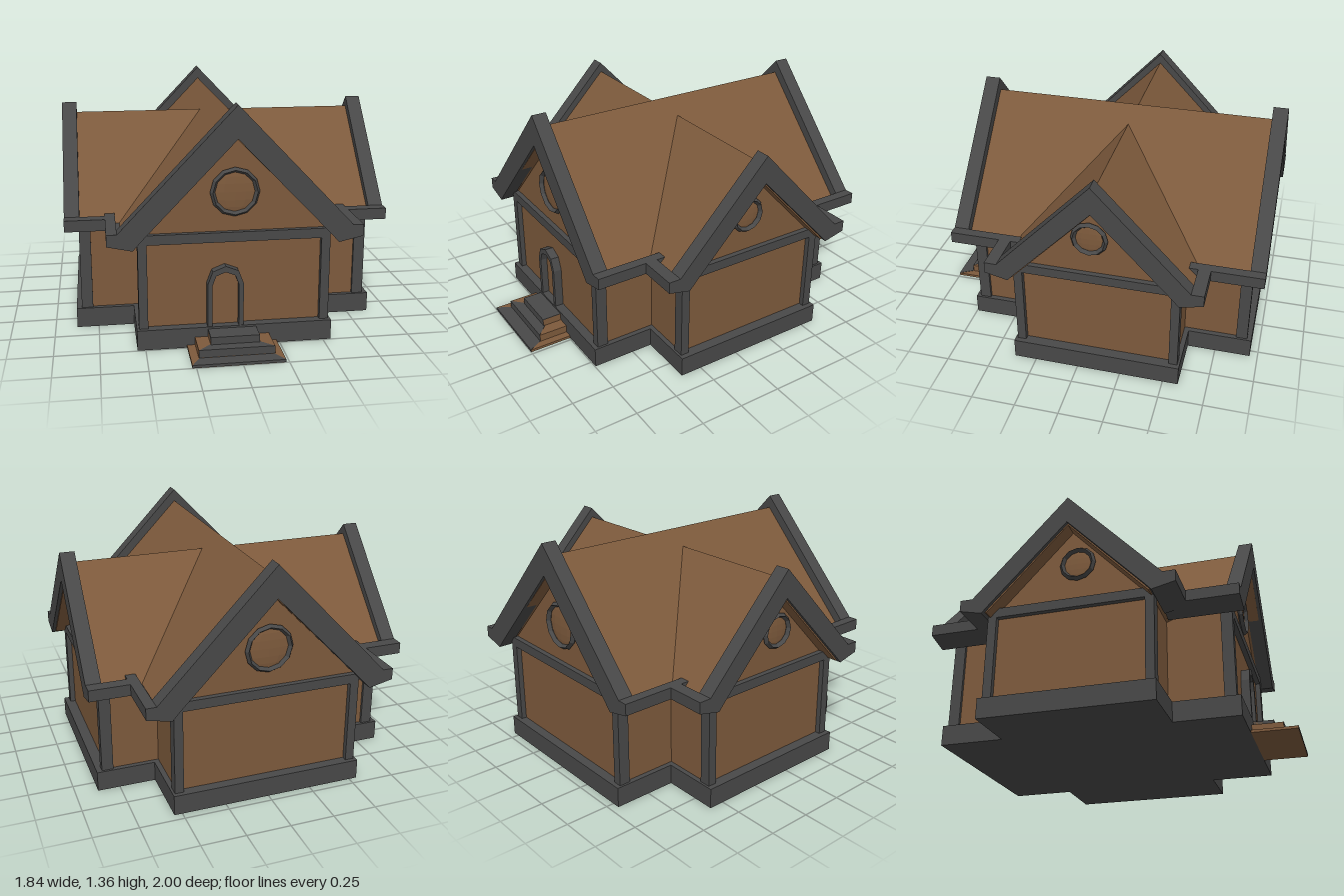
import * as THREE from 'three';

const brown = new THREE.MeshStandardMaterial({ color: 0x7d5a3c, flatShading: true });
const grey = new THREE.MeshStandardMaterial({ color: 0x484848, flatShading: true });

function add(parent, name, geometry, material, x = 0, y = 0, z = 0) {
  const mesh = new THREE.Mesh(geometry, material);
  mesh.name = name;
  mesh.position.set(x, y, z);
  parent.add(mesh);
  return mesh;
}

// Box from minimum and maximum corners
function block(parent, name, material, x0, x1, y0, y1, z0, z1) {
  return add(parent, name, new THREE.BoxGeometry(x1 - x0, y1 - y0, z1 - z0), material,
    (x0 + x1) / 2, (y0 + y1) / 2, (z0 + z1) / 2);
}

// Prism along z from an outline in x and y
function prism(parent, name, material, points, z0, z1) {
  const shape = new THREE.Shape(points.map(([x, y]) => new THREE.Vector2(x, y)));
  const geometry = new THREE.ExtrudeGeometry(shape, { depth: z1 - z0, bevelEnabled: false });
  return add(parent, name, geometry, material, 0, 0, z0);
}

// Close a right-hand outline that starts at the ridge with its mirror image.
// Outline order: outer edge downwards, then inner edge back up to the axis.
function mirrored(half) {
  const left = half.slice(1, -1).reverse().map(([x, y]) => [-x, y]);
  return [...half, ...left];
}

// One arm of the cross-shaped house, running along z with a gable at each end
function houseArm(name, p) {
  const arm = new THREE.Group();
  arm.name = name;
  const eaveY = p.ridge - 1.04 * p.eave;

  block(arm, 'foundation', grey, -p.base, p.base, 0, 0.115, -p.baseEnd, p.baseEnd);
  prism(arm, 'walls', brown, mirrored([[0, p.ridge - 0.07], [p.wall, 0.66], [p.wall, 0.1], [0, 0.1]]),
    -p.wallEnd, p.wallEnd);
  prism(arm, 'roof', brown, mirrored([[0, p.ridge], [p.eave, eaveY], [p.eave - 0.08, 0.6], [0, p.ridge - 0.11]]),
    -p.end + 0.02, p.end - 0.02);

  // Gable trim with its flared feet
  const board = mirrored([[0, p.peak], [p.eave, 0.685], [p.tip, 0.685], [p.tip, 0.62],
    [p.foot, 0.59], [p.foot - 0.045, 0.64], [0, p.innerPeak]]);
  // Eaves along the sides, outside the crossing
  const eaves = [[p.eave, 0.685], [p.tip, 0.685], [p.tip, 0.62], [p.foot, 0.59],
    [p.foot, 0.64], [p.eave, 0.64]];

  for (const s of [-1, 1]) {
    const span = (a, b) => (s > 0 ? [a, b] : [-b, -a]);
    prism(arm, 'gableTrim', grey, board, ...span(p.end - 0.085, p.end));
    block(arm, 'gableBeam', grey, -p.post, p.post, 0.595, 0.65, ...span(p.wallEnd - 0.02, p.postEnd));
    for (const side of [-1, 1]) {
      prism(arm, 'eaves', grey, eaves.map(([x, y]) => [x * side, y]), ...span(p.eaveStart, p.end - 0.002));
      const [x0, x1] = side > 0 ? [p.post - 0.05, p.post] : [-p.post, -p.post + 0.05];
      block(arm, 'cornerPost', grey, x0, x1, 0.1, 0.61, ...span(p.postEnd - 0.065, p.postEnd));
    }

    // Round gable window
    const frame = add(arm, 'windowFrame', new THREE.TorusGeometry(p.windowRadius - 0.012, 0.014, 4, 12), grey,
      p.windowX, 0.87, s * (p.wallEnd + 0.008));
    frame.scale.z = 1.5;
    const pane = add(arm, 'windowPane', new THREE.SphereGeometry(p.windowRadius - 0.015, 12, 8), brown,
      p.windowX, 0.87, s * p.wallEnd);
    pane.scale.z = 0.12;
  }
  return arm;
}

// Pointed door outline
function doorOutline(w, spring, top) {
  return [[-w, 0.1], [w, 0.1], [w, spring], [w * 0.72, spring + (top - spring) * 0.72], [0, top],
    [-w * 0.72, spring + (top - spring) * 0.72], [-w, spring]].map(([x, y]) => new THREE.Vector2(x, y));
}

export function createModel() {
  const house = new THREE.Group();
  house.name = 'house';
  const centreZ = -0.105;

  const main = houseArm('mainHall', {
    ridge: 1.28, peak: 1.355, innerPeak: 1.175, eave: 0.64, tip: 0.697, foot: 0.56,
    end: 0.895, eaveStart: 0.475, wall: 0.515, wallEnd: 0.795, post: 0.532, postEnd: 0.825,
    base: 0.545, baseEnd: 0.85, windowX: 0, windowRadius: 0.135,
  });
  const wings = houseArm('sideWings', {
    ridge: 1.19, peak: 1.25, innerPeak: 1.09, eave: 0.535, tip: 0.605, foot: 0.475,
    end: 0.922, eaveStart: 0.64, wall: 0.455, wallEnd: 0.815, post: 0.47, postEnd: 0.845,
    base: 0.483, baseEnd: 0.875, windowX: -0.035, windowRadius: 0.102,
  });
  wings.rotation.y = Math.PI / 2;
  for (const arm of [main, wings]) {
    arm.position.z = centreZ;
    house.add(arm);
  }

  // Door surround
  const surround = new THREE.Shape(doorOutline(0.1, 0.36, 0.463));
  surround.holes.push(new THREE.Path(doorOutline(0.074, 0.352, 0.43).reverse()));
  add(house, 'doorFrame', new THREE.ExtrudeGeometry(surround, { depth: 0.06, bevelEnabled: false }),
    grey, -0.055, 0, 0.68);
  add(house, 'door', new THREE.ExtrudeGeometry(new THREE.Shape(doorOutline(0.08, 0.355, 0.44)),
    { depth: 0.03, bevelEnabled: false }), brown, -0.055, 0, 0.67);

  // Steps: brown blocks with a mitred grey tread at the front
  const steps = [
    { w: 0.135, y0: 0.06, y1: 0.102, z: 0.86, inner: 0.135, zIn: 0.74 },
    { w: 0.208, y0: 0.017, y1: 0.06, z: 0.92, inner: 0.135, zIn: 0.85 },
    { w: 0.252, y0: 0, y1: 0.015, z: 1.0, inner: 0.2, zIn: 0.91 },
  ];
  for (const { w, y0, y1, z, inner, zIn } of steps) {
    block(house, 'step', brown, -0.02 - w, -0.02 + w, y0, y1, 0.7, z - 0.002);
    const shape = new THREE.Shape([[-w, -z], [w, -z], [inner, -zIn], [-inner, -zIn]]
      .map(([x, y]) => new THREE.Vector2(x, y)));
    const tread = new THREE.ExtrudeGeometry(shape, { depth: y1 - y0, bevelEnabled: false });
    tread.rotateX(-Math.PI / 2);
    add(house, 'stepTread', tread, grey, -0.02, y0 + 0.002, 0);
  }
  return house;
}
